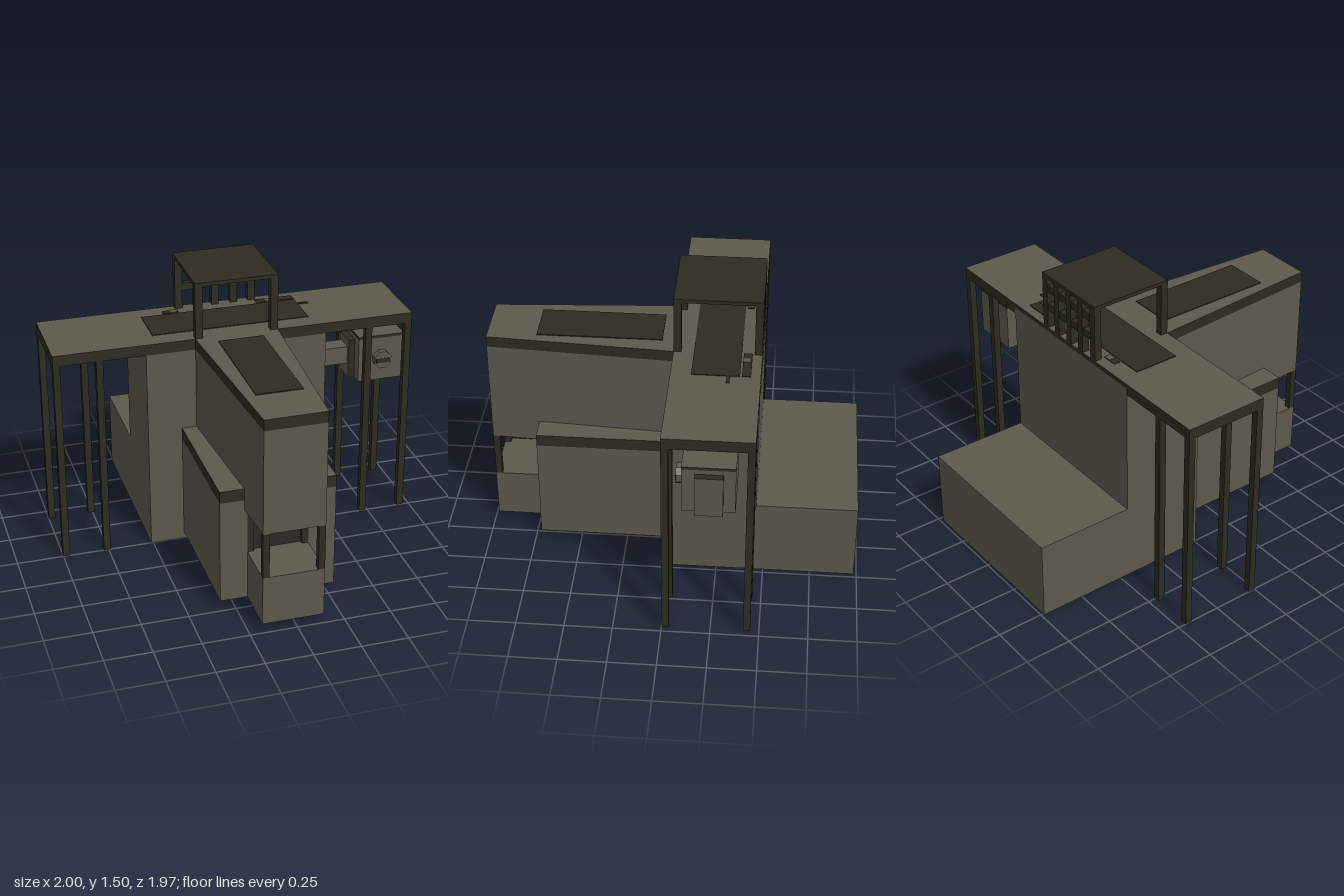
import * as THREE from 'three';

export function createModel() {
  const model = new THREE.Group();
  const mat = (name, color) => {
    const m = new THREE.MeshStandardMaterial({ color });
    m.name = name;
    return m;
  };
  const plate = mat('olive plate', 0x5c594c);
  const frame = mat('dark frame', 0x2c2c20);
  const shade = mat('dark recess', 0x292824);
  // box face order: +x, -x, +y, -y, +z, -z
  const trimmed = [frame, frame, plate, plate, frame, frame];
  const sidePlate = [plate, plate, frame, frame, frame, frame];

  const add = (name, geometry, material) => {
    const mesh = new THREE.Mesh(geometry, material);
    mesh.name = name;
    model.add(mesh);
    return mesh;
  };
  // box given by its limits on each axis
  const box = (name, [x0, x1], [y0, y1], [z0, z1], material = plate) => {
    const mesh = add(name, new THREE.BoxGeometry(x1 - x0, y1 - y0, z1 - z0), material);
    mesh.position.set((x0 + x1) / 2, (y0 + y1) / 2, (z0 + z1) / 2);
    return mesh;
  };

  // main body and rear annex
  box('body', [-0.51, 0.475], [0, 1.13], [-0.455, 0]);
  box('bodyBackUpper', [-0.51, 0.475], [1.13, 1.17], [-0.458, -0.45]);
  box('rearAnnex', [-0.51, 0.475], [0, 0.43], [-0.985, -0.455]);

  // wide deck on eight legs
  box('deck', [-1, 0.965], [1.13, 1.19], [-0.455, 0], trimmed);
  for (const x of [-1, -0.775, 0.702, 0.928])
    for (const z of [-0.455, -0.037])
      box('deckLeg', [x, x + 0.037], [0, 1.13], [z, z + 0.037], frame);

  // painted deck details
  box('deckPanel', [-0.45, 0.41], [1.187, 1.194], [-0.35, -0.105], frame);
  box('deckStripLeft', [0.2, 0.41], [1.187, 1.194], [-0.405, -0.36], frame);
  box('deckStripRight', [-0.325, -0.24], [1.187, 1.194], [-0.395, -0.36], frame);
  box('deckTab', [0.41, 0.47], [1.187, 1.194], [-0.3, -0.282], frame);
  for (const x of [-0.285, 0.25])
    box('deckHatch', [x, x + 0.035], [1.19, 1.197], [-0.395, -0.36]);

  // tapered nose with a dark band at the top
  const nose = (name, y0, y1, sides) => {
    const outline = new THREE.Shape([
      [-0.18, -0.98], [0.145, -0.98], [0.205, 0], [-0.245, 0],
    ].map(([x, y]) => new THREE.Vector2(x, y)));
    const g = new THREE.ExtrudeGeometry(outline, { depth: y1 - y0, bevelEnabled: false });
    g.rotateX(-Math.PI / 2);
    add(name, g, [plate, sides]).position.y = y0;
  };
  nose('nose', 0.56, 1.13, plate);
  nose('noseBand', 1.13, 1.19, frame);
  box('nosePanel', [-0.14, 0.105], [1.187, 1.195], [0.065, 0.72], frame);

  // side blocks flanking the nose
  for (const x of [[-0.325, -0.18], [0.145, 0.29]]) {
    box('sideBlock', x, [0.04, 0.615], [0, 0.72]);
    box('sideBlockBand', x, [0.615, 0.68], [0, 0.72], trimmed);
  }

  // base below the nose, with posts around the opening
  box('noseBase', [-0.18, 0.145], [0.04, 0.31], [0, 0.98]);
  box('openingWall', [-0.18, 0.145], [0.31, 0.56], [0.69, 0.699], shade);
  for (const x of [-0.18, 0.11])
    for (const z of [0.685, 0.945])
      box('openingPost', [x, x + 0.035], [0.31, 0.56], [z, z + 0.035], frame);

  // lookout tower with a lattice at the back
  box('towerRoof', [-0.245, 0.205], [1.48, 1.5], [-0.455, 0], frame);
  for (const x of [-0.245, 0.165])
    for (const z of [-0.455, -0.04])
      box('towerPost', [x, x + 0.04], [1.19, 1.48], [z, z + 0.04], frame);
  for (const x of [-0.12, -0.02, 0.085])
    box('latticeBar', [x - 0.02, x + 0.02], [1.19, 1.48], [-0.455, -0.415], frame);
  for (const y of [1.312, 1.418])
    box('latticeRail', [-0.21, 0.17], [y - 0.02, y + 0.02], [-0.45, -0.42], frame);

  // side pod hung on an arm
  box('podArm', [0.475, 0.68], [0.845, 0.945], [-0.285, -0.185]);
  box('podBox', [0.705, 0.965], [0.765, 1.015], [-0.365, -0.1]);
  box('podLid', [0.705, 0.965], [1.015, 1.03], [-0.365, -0.1], trimmed);
  for (const x of [0.67, 0.965])
    box('podSidePlate', [x, x + 0.035], [0.765, 0.99], [-0.305, -0.165], sidePlate);

  // eight-sided nozzle on the pod front
  const ring = new THREE.CylinderGeometry(0.052, 0.052, 0.035, 8, 1, false, Math.PI / 8);
  ring.rotateX(Math.PI / 2);
  plate.flatShading = true;
  add('podNozzle', ring, plate).position.set(0.835, 0.895, -0.083);
  box('podNozzleSlot', [0.795, 0.875], [0.88, 0.905], [-0.07, -0.063], frame);

  return model;
}
